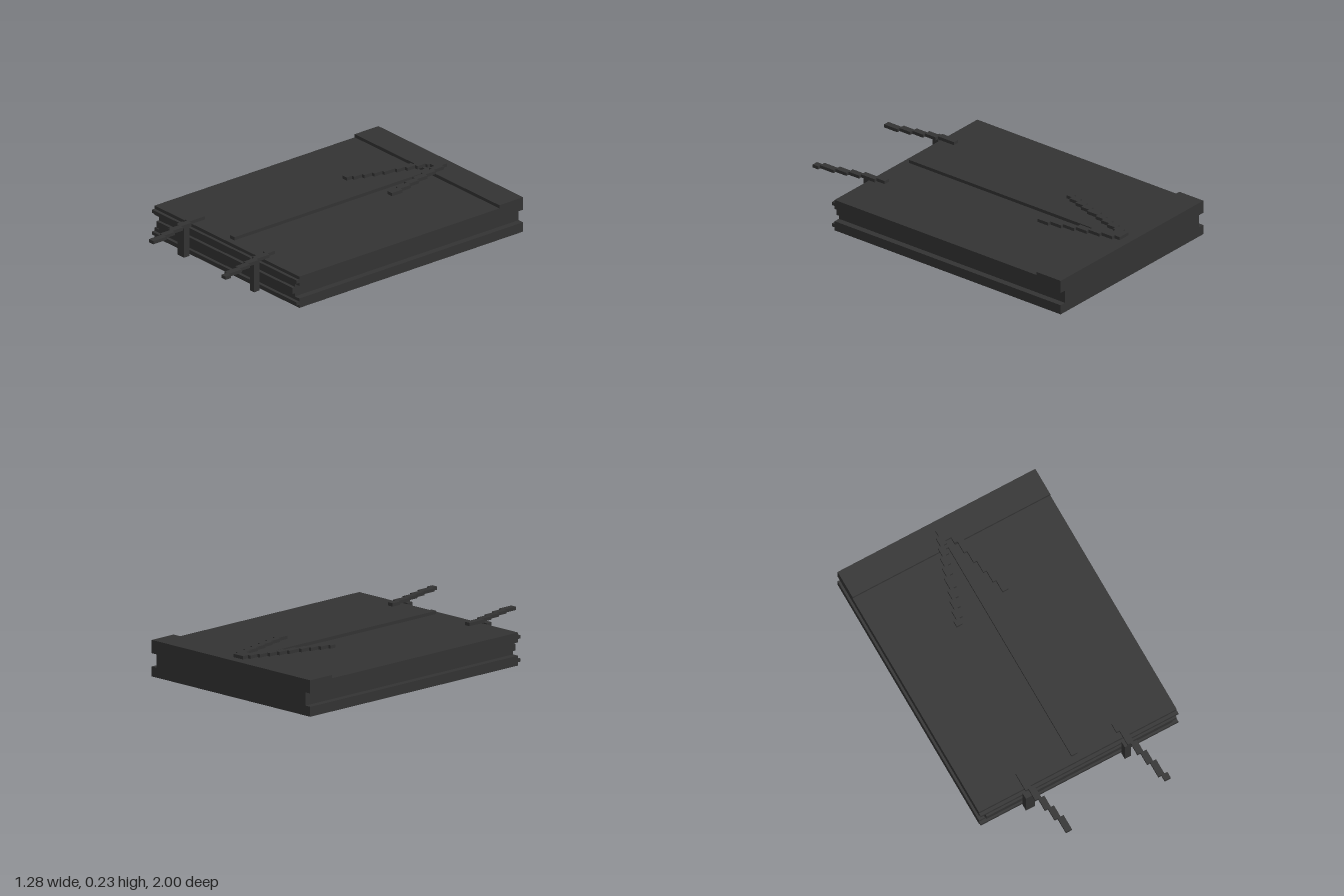
import * as THREE from 'three';

// One small cube of the block grid; the model is 103 cubes long
const U = 2 / 103;

export function createModel() {
  const group = new THREE.Group();
  const charcoal = new THREE.MeshStandardMaterial({ color: 0x333333 });
  charcoal.name = 'charcoal';

  // Block given in grid units; z is counted from the back edge
  function block(name, x0, x1, y0, y1, z0, z1, parent = group) {
    const mesh = new THREE.Mesh(
      new THREE.BoxGeometry((x1 - x0) * U, (y1 - y0) * U, (z1 - z0) * U), charcoal);
    mesh.position.set((x0 + x1) / 2 * U, (y0 + y1) / 2 * U, (z0 + z1) / 2 * U - 1);
    mesh.name = name;
    parent.add(mesh);
  }

  // Stair-stepped strip, two cubes wide: list of [left x, start z, end z]
  function steppedStrip(name, y, steps) {
    const strip = new THREE.Group();
    strip.name = name;
    for (const [x, z0, z1] of steps) block(name + 'Step', x, x + 2, y, y + 1, z0, z1, strip);
    group.add(strip);
  }

  // Covers and pages, with side grooves and a ridged front edge
  const layers = [
    ['bottomCover', 0, 1, 33, 85], ['lowerPages', 1, 2, 33, 86],
    ['lowerPages', 2, 3, 33, 85], ['innerPages', 3, 4, 31, 85],
    ['innerPages', 4, 6, 31, 86], ['innerPages', 6, 7, 31, 85],
    ['upperPages', 7, 8, 33, 85], ['upperPages', 8, 9, 33, 86],
    ['topCover', 9, 10, 33, 85],
  ];
  for (const [name, y0, y1, half, front] of layers) block(name, -half, half, y0, y1, 0, front);

  // Raised band along the spine
  block('spineBand', -33, 33, 10, 11, 0, 9);

  // Long centre rib and the arrow head above it
  block('centreRib', -1, 1, 10, 11, 9, 83);
  block('arrowTip', -2, 2, 11, 12, 3, 7);
  const stepStart = (i, pitch) => Math.round(5 + pitch * i);
  const rightArm = [], leftArm = [];
  for (let i = 0; i < 9; i++) {
    rightArm.push([-3 - i, stepStart(i, 3.1), i === 8 ? 32 : stepStart(i + 1, 3.1)]);
  }
  for (let i = 0; i < 6; i++) leftArm.push([1 + i, stepStart(i, 4), stepStart(i + 1, 4)]);
  steppedStrip('rightArrowArm', 11, rightArm);
  steppedStrip('leftArrowArm', 11, leftArm);

  // Clasps: a post in front of the pages and a stepped strap lying on top
  block('rightClaspPost', -19, -16, 0, 10, 86, 88);
  block('leftClaspPost', 14, 16, 0, 10, 86, 88);
  steppedStrip('rightStrap', 10,
    [[-18, 80, 86], [-17, 86, 90], [-16, 90, 94], [-15, 94, 98], [-14, 98, 103]]);
  steppedStrip('leftStrap', 10,
    [[14, 80, 83], [15, 83, 88], [16, 88, 92], [17, 92, 96], [18, 96, 101], [19, 101, 103]]);

  return group;
}
